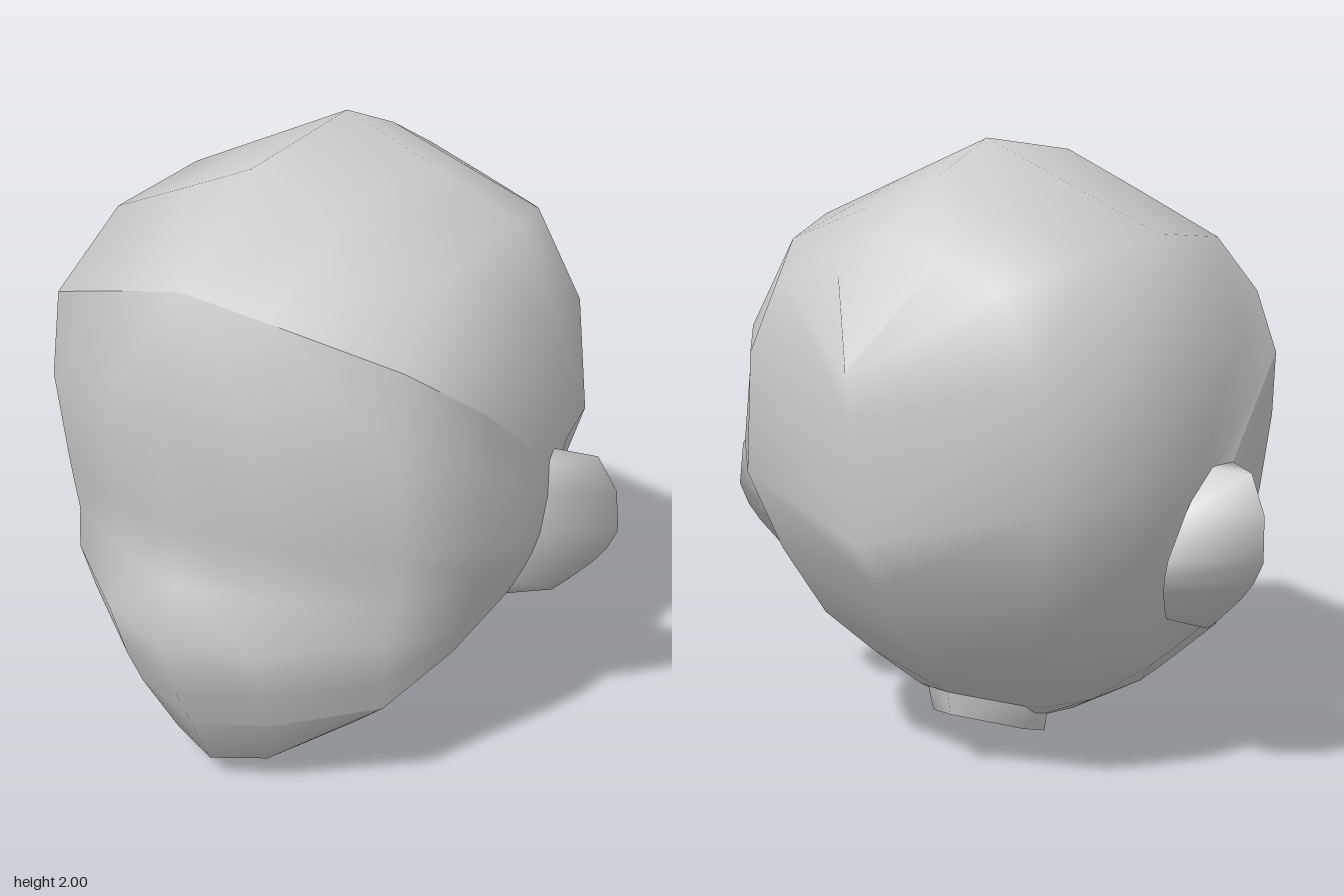
import * as THREE from 'three';
import { mergeVertices } from 'three/addons/utils/BufferGeometryUtils.js';

const grey = new THREE.MeshStandardMaterial({ color: 0xcccccc });
grey.name = 'plain grey';

const vec = (x, y, z) => new THREE.Vector3(x, y, z);

// Skins rows of half cross-sections (x >= 0), mirrors them across x = 0 and smooths the result
function halfLoft(name, rows, flip = false) {
  const pos = [];
  const tri = (a, b, c) => {
    for (const p of flip ? [a, c, b] : [a, b, c]) pos.push(p.x, p.y, p.z);
    for (const p of flip ? [a, b, c] : [a, c, b]) pos.push(p.x ? -p.x : 0, p.y, p.z);
  };
  for (let i = 0; i < rows.length - 1; i++) {
    for (let j = 0; j < rows[i].length - 1; j++) {
      tri(rows[i][j], rows[i + 1][j], rows[i + 1][j + 1]);
      tri(rows[i][j], rows[i + 1][j + 1], rows[i][j + 1]);
    }
  }
  const flat = new THREE.BufferGeometry();
  flat.setAttribute('position', new THREE.Float32BufferAttribute(pos, 3));
  const geometry = mergeVertices(flat, 1e-4);
  geometry.computeVertexNormals();
  const mesh = new THREE.Mesh(geometry, grey);
  mesh.name = name;
  return mesh;
}

// Point on the quarter ellipse from "from" (0 degrees) to "to" (90 degrees), pulled to its chord by "flat"
function quarterArc(from, to, degrees, flat = 0) {
  const angle = THREE.MathUtils.degToRad(degrees);
  const centre = vec(to.x, to.y, from.z);
  return centre.clone()
    .addScaledVector(from.clone().sub(centre), Math.cos(angle))
    .addScaledVector(to.clone().sub(centre), Math.sin(angle))
    .lerp(from.clone().lerp(to, degrees / 90), flat);
}

export function createModel() {
  const group = new THREE.Group();
  group.name = 'head';

  // Face: blends hairline into jawline, with brow and muzzle bulging along the middle
  const hairline = [vec(0, 1.67, 0.75), vec(0.25, 1.6, 0.67), vec(0.62, 1.49, 0.55),
    vec(0.775, 1.33, 0.35), vec(0.8, 1.05, -0.02)];
  const jawline = [vec(0, 0.26, 0.76), vec(0.25, 0.29, 0.68), vec(0.53, 0.35, 0.49),
    vec(0.64, 0.47, 0.26), vec(0.67, 0.55, -0.03)];
  const steps = [0, 0.23, 0.51, 0.65, 0.76, 0.9, 1];
  const bulge = [0, 0.12, 0.06, 0.045, 0.14, 0.07, 0];
  const face = steps.map((t, i) => hairline.map((top, j) => {
    const p = top.clone().lerp(jawline[j], t);
    p.x += 0.045 * Math.sin(Math.PI * t) * Math.min(1, top.x / 0.5);
    p.z += bulge[i] * (1 - (top.x / 0.8) ** 2);
    return p;
  }));
  group.add(halfLoft('face', face));

  // Skull: arcs run from the face outline over the widest ring to the rear centre line
  const outline = [...hairline, face[3][4], ...jawline.slice().reverse()];
  const widest = [vec(0, 2, -0.13), vec(0.3, 1.87, -0.14), vec(0.6, 1.74, -0.15),
    vec(0.75, 1.43, -0.17), vec(0.77, 1.05, -0.2), vec(0.7, 0.75, -0.21), vec(0.58, 0.5, -0.2),
    vec(0.49, 0.32, 0.08), vec(0.34, 0.17, 0.3), vec(0.16, 0.06, 0.49), vec(0, 0.035, 0.53)];
  const rear = [vec(0, 1.4, -0.9), vec(0, 1.4, -0.9), vec(0, 1.38, -0.9), vec(0, 1.25, -0.89),
    vec(0, 0.88, -0.87), vec(0, 0.72, -0.755), vec(0, 0.55, -0.63), vec(0, 0.4, -0.49),
    vec(0, 0.28, -0.38), vec(0, 0.2, -0.24), vec(0, 0.13, -0.08)];
  const flatness = [1, 0.85, 0.6, 0.25, 0, 0.3, 0.6, 0.5, 0.3, 0, 0];
  const rearRing = (angle, flat) =>
    widest.map((p, j) => quarterArc(p, rear[j], angle, flat * flatness[j]));
  const skull = [
    outline,
    widest.map((p, j) => quarterArc(p, outline[j], 36)),
    widest,
    rearRing(25, 0.4),
    rearRing(47, 0.24),
    rear,
  ];
  group.add(halfLoft('skull', skull, true));

  // Ears: wedges from a front root to an outer rim and a back root that spreads over the skull
  const root = face.map((row) => row[4]);
  const swell = steps.map((t) => Math.sin(Math.PI * t));
  const rim = root.map((p, i) => vec(p.x + 0.11 + 0.085 * swell[i], p.y, -0.13 - 0.045 * swell[i]));
  const back = root.map((p, i) => vec(p.x - 0.04 - 0.02 * swell[i], p.y, -0.11 - 0.18 * swell[i]));
  const ears = [root, rim, back].map((row) => [back[0], ...row, back[6]]);
  group.add(halfLoft('ears', ears, true));

  // Short neck stub with a slanted underside
  const neckRim = [vec(0, 0, 0.1), vec(0.15, 0.06, -0.02), vec(0.17, 0.13, -0.2), vec(0, 0.2, -0.365)];
  const neckTop = neckRim.map((p) => vec(p.x * 1.1, p.y + 0.1, p.z * 1.05));
  const neckCentre = neckRim.map(() => vec(0, 0.1, -0.13));
  group.add(halfLoft('neck', [neckTop, neckRim]));
  group.add(halfLoft('neckUnderside', [neckRim, neckCentre]));

  return group;
}
